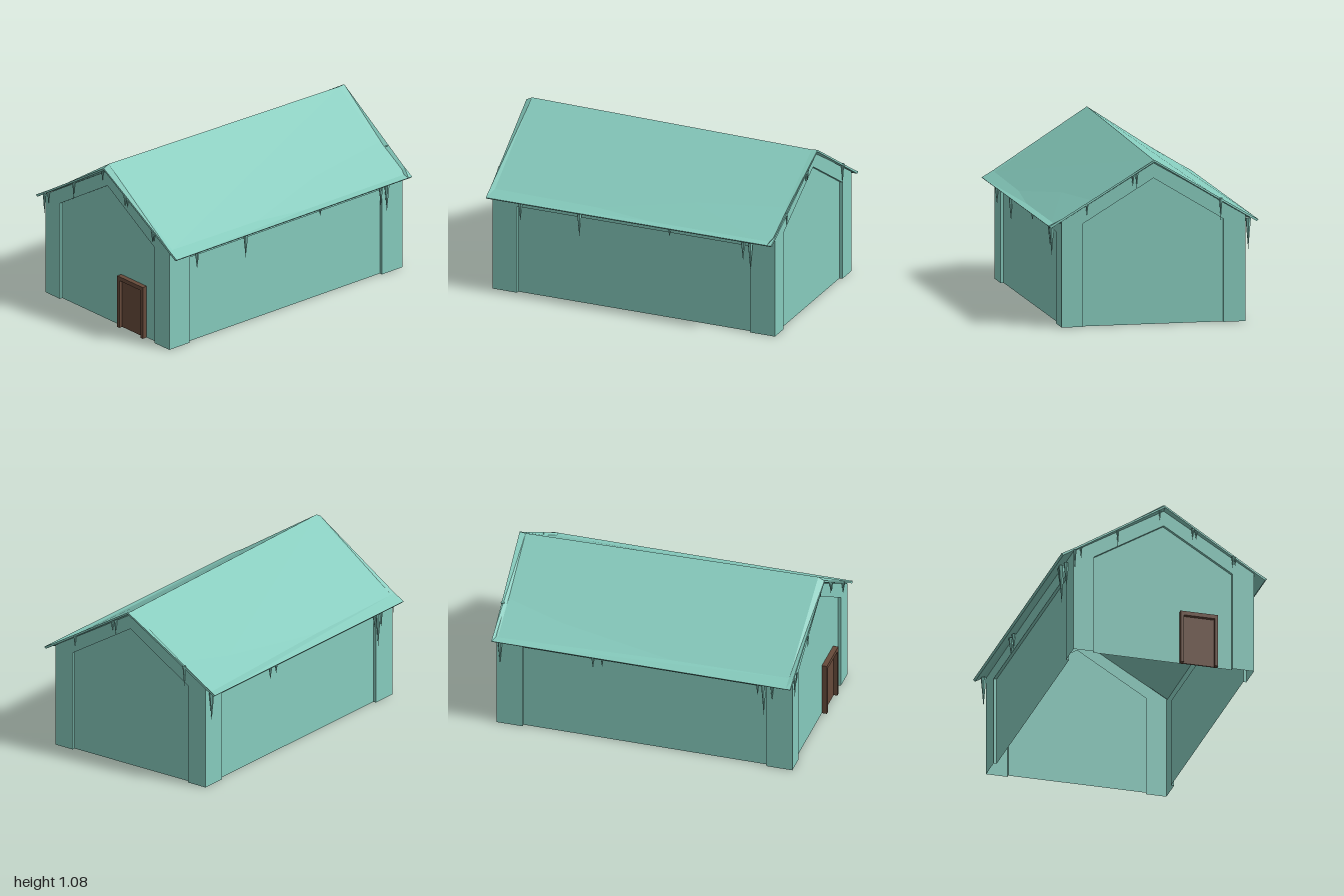
import * as THREE from 'three';

const HX = 0.59, HZ = 0.97, STEP = 0.02; // wall half width, half length, panel recess

export function createModel() {
  const mint = new THREE.MeshStandardMaterial({ color: 0x86cbbd, side: THREE.DoubleSide });
  mint.name = 'mint';
  const brown = new THREE.MeshStandardMaterial({ color: 0x664a3a });
  brown.name = 'brown';
  mint.flatShading = true;

  const model = new THREE.Group();
  model.name = 'house';

  const add = (parent, name, geometry, material) => {
    const mesh = new THREE.Mesh(geometry, material);
    mesh.name = name;
    parent.add(mesh);
    return mesh;
  };

  // Thin band running along a path, from the frame plane back to the panel
  const stepBand = (path) => {
    const pos = [], index = [];
    path.forEach(([x, y], i) => {
      pos.push(x, y, 0, x, y, -STEP);
      if (i) index.push(2 * i - 2, 2 * i - 1, 2 * i, 2 * i - 1, 2 * i + 1, 2 * i);
    });
    const g = new THREE.BufferGeometry();
    g.setAttribute('position', new THREE.Float32BufferAttribute(pos, 3));
    g.setIndex(index);
    const flat = g.toNonIndexed();
    flat.computeVertexNormals();
    return flat;
  };

  // Wall: raised frame with a recessed panel that reaches the ground
  const makeWall = (name, outer, inner) => {
    const wall = new THREE.Group();
    wall.name = name;
    const toShape = (pts) => new THREE.Shape(pts.map(([x, y]) => new THREE.Vector2(x, y)));
    add(wall, 'wallFrame', new THREE.ShapeGeometry(toShape([...outer, ...[...inner].reverse()])), mint);
    add(wall, 'wallPanel', new THREE.ShapeGeometry(toShape(inner)), mint).position.z = -STEP;
    add(wall, 'panelEdge', stepBand(inner), mint);
    model.add(wall);
    return wall;
  };

  const gableOuter = [[-HX, 0], [-HX, 0.675], [0, 1.03], [HX, 0.675], [HX, 0]];
  const gableInner = [[-0.455, 0], [-0.455, 0.655], [0, 0.93], [0.45, 0.655], [0.45, 0]];
  const sideOuter = [[-HZ, 0], [-HZ, 0.675], [HZ, 0.675], [HZ, 0]];
  const sideInner = [[-0.80, 0], [-0.80, 0.585], [0.80, 0.585], [0.80, 0]];
  for (const s of [1, -1]) {
    const gable = makeWall(s > 0 ? 'frontWall' : 'backWall', gableOuter, gableInner);
    gable.position.z = s * HZ;
    gable.rotation.y = s > 0 ? 0 : Math.PI;
    const side = makeWall(s > 0 ? 'leftWall' : 'rightWall', sideOuter, sideInner);
    side.position.x = s * HX;
    side.rotation.y = s * Math.PI / 2;
  }

  // Roof: cross-sections from front to back, [z, eave z, ridge y, shoulder y, underside ridge y]
  const sections = [
    [1.0, 0.98, 1.056, 0.69, 1.043],
    [0.96, 0.95, 1.076, 0.682, 1.03],
    [-0.96, -0.95, 1.046, 0.66, 1.022],
    [-1.0, -0.98, 1.05, 0.69, 1.037],
  ];
  const rings = sections.map(([z, ez, ridge, shoulder, under]) => [
    [-0.672, 0.646, ez], [-0.595, shoulder, ez], [0, ridge, z], [0.595, shoulder, ez], [0.672, 0.646, ez],
    [0.66, 0.635, ez], [0, under, z], [-0.66, 0.635, ez],
  ]);
  const N = 8, roofIndex = [];
  for (let r = 0; r < rings.length - 1; r++) {
    for (let i = 0; i < N; i++) {
      const a = r * N + i, b = r * N + (i + 1) % N;
      roofIndex.push(a, b, a + N, b, b + N, a + N);
    }
  }
  const capFaces = [[0, 7, 1], [1, 7, 6], [1, 6, 2], [2, 6, 3], [3, 6, 5], [3, 5, 4]];
  const last = (rings.length - 1) * N;
  for (const [a, b, c] of capFaces) roofIndex.push(a, b, c, last + a, last + c, last + b);
  const roofBase = new THREE.BufferGeometry();
  roofBase.setAttribute('position', new THREE.Float32BufferAttribute(rings.flat(2), 3));
  roofBase.setIndex(roofIndex);
  const roofGeometry = roofBase.toNonIndexed();
  roofGeometry.computeVertexNormals();
  add(model, 'roof', roofGeometry, mint);

  // Door with raised frame
  const door = new THREE.Group();
  door.name = 'door';
  const box = (name, x, y, z, w, h, d) =>
    add(door, name, new THREE.BoxGeometry(w, h, d), brown).position.set(x, y, z);
  box('doorPanel', 0.23, 0.1625, 0.955, 0.21, 0.325, 0.008);
  for (const x of [0.118, 0.342]) box('doorJamb', x, 0.1625, 0.966, 0.02, 0.325, 0.034);
  box('doorLintel', 0.23, 0.338, 0.966, 0.244, 0.027, 0.034);
  model.add(door);

  // Icicles: [x, z, top y, tip y, radius]
  const icicles = [
    // left eave
    [0.62, 0.765, 0.65, 0.505, 0.018], [0.62, 0.36, 0.65, 0.465, 0.019], [0.62, -0.26, 0.65, 0.57, 0.016],
    [0.62, -0.765, 0.65, 0.49, 0.018], [0.62, -0.815, 0.65, 0.435, 0.02],
    // right eave
    [-0.615, -0.94, 0.65, 0.45, 0.018], [-0.615, -0.33, 0.65, 0.53, 0.017], [-0.615, -0.27, 0.65, 0.55, 0.015],
    [-0.615, 0.75, 0.65, 0.53, 0.016], [-0.615, 0.79, 0.65, 0.39, 0.02], [-0.6, 0.84, 0.65, 0.5, 0.016],
    // front gable
    [-0.585, 0.985, 0.68, 0.54, 0.01], [-0.545, 0.985, 0.70, 0.62, 0.008], [-0.305, 0.985, 0.85, 0.735, 0.009],
    [-0.03, 0.985, 1.025, 0.95, 0.008], [0.185, 0.985, 0.925, 0.85, 0.011], [0.207, 0.985, 0.915, 0.85, 0.01],
    [0.447, 0.985, 0.77, 0.685, 0.01], [0.462, 0.985, 0.76, 0.7, 0.009],
    // back gable
    [0.43, -0.98, 0.78, 0.70, 0.01], [0.11, -0.98, 0.965, 0.87, 0.011], [0.135, -0.98, 0.95, 0.88, 0.01],
    [-0.43, -0.98, 0.79, 0.65, 0.012],
  ];
  for (const [x, z, top, tip, r] of icicles) {
    const g = new THREE.ConeGeometry(r, top - tip, 6);
    g.rotateX(Math.PI);
    add(model, 'icicle', g, mint).position.set(x, (top + tip) / 2, z);
  }

  // The whole building sits slightly askew
  model.rotation.y = -0.008;
  return model;
}
